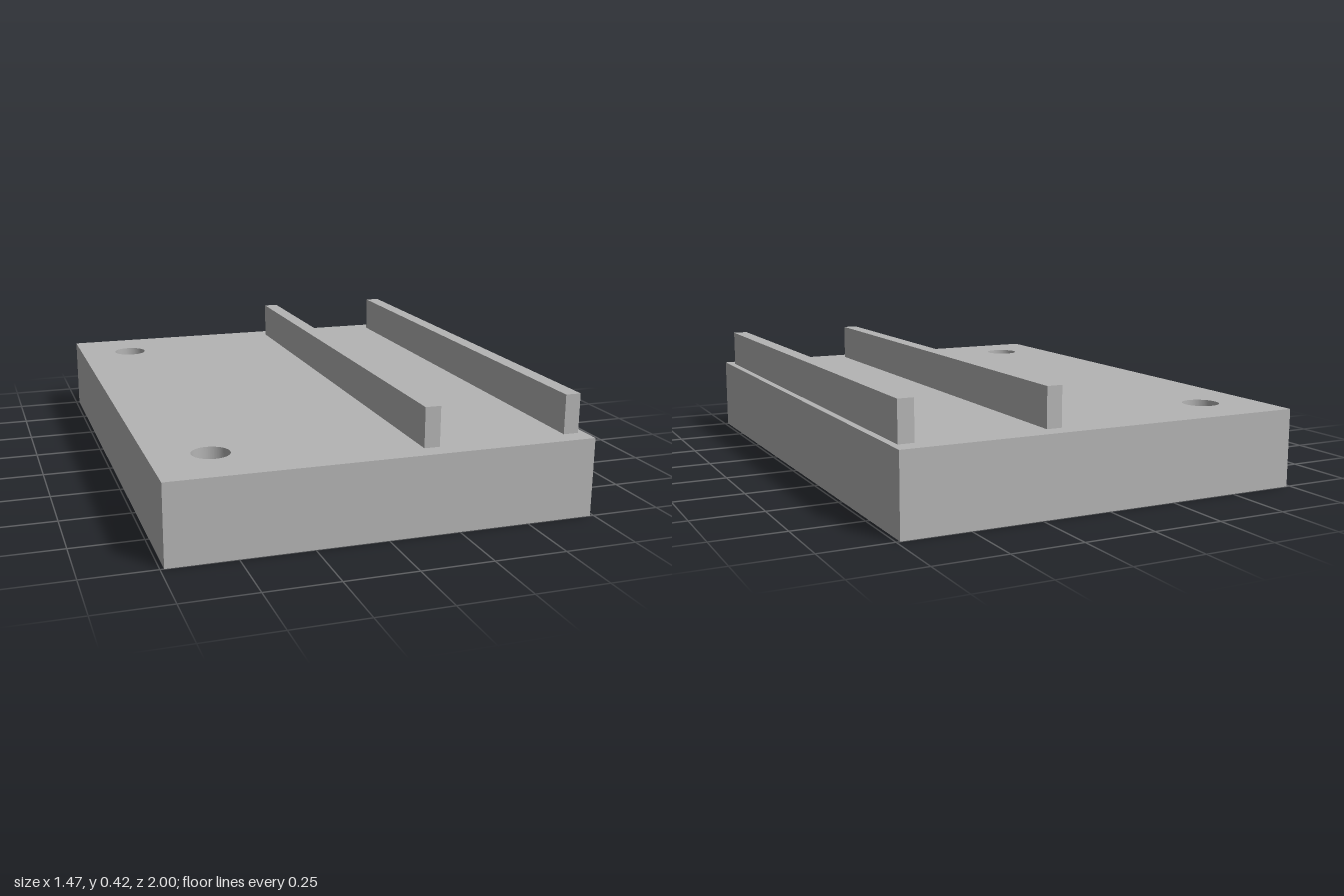
import * as THREE from 'three';

const HALF_WIDTH = 0.737;
const BASE_HEIGHT = 0.278;
const TOP = 0.417;

export function createModel() {
  const group = new THREE.Group();
  const grey = new THREE.MeshStandardMaterial({ color: 0xb4b4b4 });
  grey.name = 'grey';

  // Base plate with two through holes; the shape lies in x and -z
  const outline = new THREE.Shape();
  outline.moveTo(-HALF_WIDTH, -1);
  outline.lineTo(HALF_WIDTH, -1);
  outline.lineTo(HALF_WIDTH, 1);
  outline.lineTo(-HALF_WIDTH, 1);
  outline.closePath();
  for (const z of [-0.765, 0.765]) {
    const hole = new THREE.Path();
    hole.absarc(-0.53, z, 0.065, 0, Math.PI * 2, true);
    outline.holes.push(hole);
  }
  const plate = new THREE.ExtrudeGeometry(outline, {
    depth: BASE_HEIGHT, bevelEnabled: false, curveSegments: 48,
  });
  plate.rotateX(-Math.PI / 2);
  const base = new THREE.Mesh(plate, grey);
  base.name = 'basePlate';
  group.add(base);

  // Two parallel guide rails
  const railHeight = TOP - BASE_HEIGHT;
  const rails = [['innerRail', 0.172], ['outerRail', 0.685]];
  for (const [name, x] of rails) {
    const rail = new THREE.Mesh(new THREE.BoxGeometry(0.055, railHeight, 1.86), grey);
    rail.position.set(x, BASE_HEIGHT + railHeight / 2, 0);
    rail.name = name;
    group.add(rail);
  }
  return group;
}
